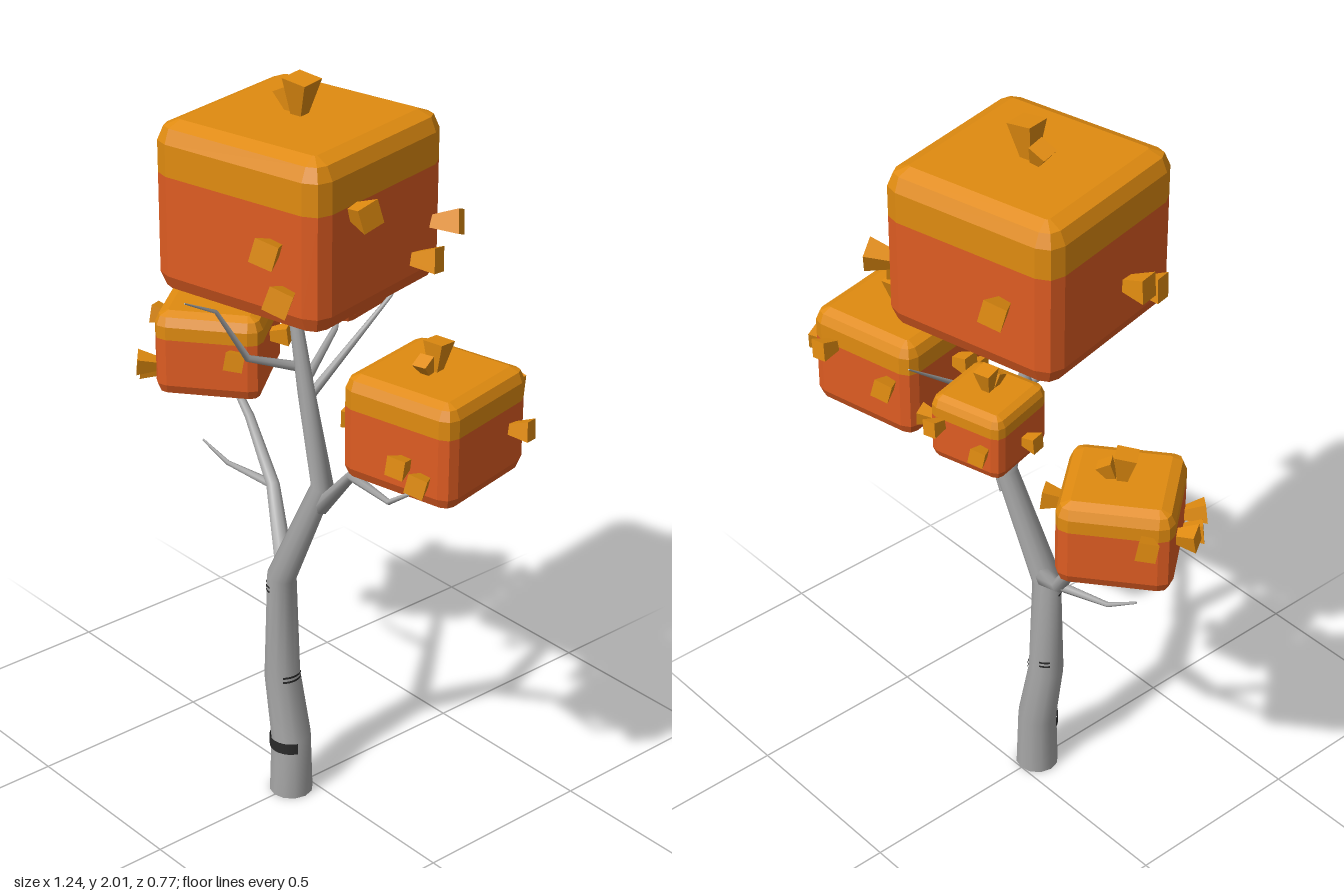
import * as THREE from 'three';

const V = (x, y, z) => new THREE.Vector3(x, y, z);
const UP = V(0, 1, 0);
const material = (name, color, extra = {}) =>
  Object.assign(new THREE.MeshStandardMaterial({ color, ...extra }), { name });
const add = (parent, name, geometry, mat) => {
  const mesh = new THREE.Mesh(geometry, mat);
  mesh.name = name;
  parent.add(mesh);
  return mesh;
};

// Skin through a stack of equal-length rings, closed at the chosen ends
function loft(rings, capBottom = true, capTop = true) {
  const n = rings[0].length, pos = [], index = [];
  const push = ring => ring.forEach(p => pos.push(p.x, p.y, p.z));
  rings.forEach(push);
  for (let i = 0; i < rings.length - 1; i++) {
    for (let j = 0; j < n; j++) {
      const a = i * n + j, b = i * n + (j + 1) % n;
      index.push(a, b, b + n, a, b + n, a + n);
    }
  }
  const cap = (ring, top) => {
    const s = pos.length / 3;
    push(ring);
    for (let j = 1; j < n - 1; j++) {
      if (top) index.push(s, s + j, s + j + 1);
      else index.push(s, s + j + 1, s + j);
    }
  };
  if (capBottom) cap(rings[0], false);
  if (capTop) cap(rings[rings.length - 1], true);
  const g = new THREE.BufferGeometry();
  g.setAttribute('position', new THREE.Float32BufferAttribute(pos, 3));
  g.setIndex(index);
  g.computeVertexNormals();
  return g;
}

// Limb through the points, tapering evenly with its length from r0 to r1
function limb(r0, r1, sides, ...points) {
  const c = points.map(p => V(...p)), along = [0];
  for (let i = 1; i < c.length; i++) along.push(along[i - 1] + c[i].distanceTo(c[i - 1]));
  return loft(c.map((p, i) => {
    const dir = c[Math.min(i + 1, c.length - 1)].clone().sub(c[Math.max(i - 1, 0)]).normalize();
    const q = new THREE.Quaternion().setFromUnitVectors(UP, dir);
    const r = r0 + (r1 - r0) * along[i] / along[c.length - 1];
    return Array.from({ length: sides }, (_, j) => {
      const a = j / sides * Math.PI * 2;
      return V(r * Math.cos(a), 0, -r * Math.sin(a)).applyQuaternion(q).add(p);
    });
  }));
}

// Rounded square outline at height y
function squareRing(half, y, inset, r) {
  const cr = Math.max(r - inset, r * 0.15), h = half - inset - cr, ring = [];
  for (let q = 0; q < 4; q++) {
    const m = (q + 0.5) * Math.PI / 2;
    for (let k = 0; k < 3; k++) {
      const a = (q + k / 2) * Math.PI / 2;
      ring.push(V(Math.sign(Math.cos(m)) * h + cr * Math.cos(a), y,
        -(Math.sign(Math.sin(m)) * h + cr * Math.sin(a))));
    }
  }
  return ring;
}

// Flared square sprig from base to tip
function sprig(parent, base, tip, w, mat) {
  const geometry = new THREE.CylinderGeometry(w * 0.7, w * 0.28, tip.distanceTo(base), 4);
  geometry.rotateY(Math.PI / 4);
  const mesh = add(parent, 'sprig', geometry, mat);
  mesh.position.copy(base).add(tip).multiplyScalar(0.5);
  mesh.quaternion.setFromUnitVectors(UP, tip.clone().sub(base).normalize());
}

// Leaf block with a golden cap, two sprigs on top and others on its sides.
// Each side lists [offset along the side, height].
function leafBlock(name, { x, z, y0, y1, size, turn, r, w, lean, sides }, gold, orange) {
  const group = new THREE.Group();
  group.name = name;
  group.position.set(x, 0, z);
  group.rotation.y = turn;
  const half = size / 2, cut = y1 - 0.3 * (y1 - y0);
  const ring = (y, inset) => squareRing(half, y, inset, r);
  add(group, 'leafBody', loft([ring(y0, r), ring(y0 + 0.3 * r, 0.3 * r), ring(y0 + r, 0),
    ring(cut, 0)], true, false), orange);
  add(group, 'leafCap', loft([ring(cut, 0), ring(y1 - r, 0), ring(y1 - 0.3 * r, 0.3 * r),
    ring(y1, r)], false, true), gold);

  // Top pair: a tall one, and a short one leaning away from it
  const out = V(Math.cos(lean - turn), 0, -Math.sin(lean - turn));
  const foot = V(0, y1 - 0.01, 0);
  sprig(group, foot, V(0, y1 + 1.45 * w, 0).addScaledVector(out, -0.2 * w), w * 1.1, gold);
  sprig(group, foot.clone().addScaledVector(out, 0.4 * w),
    V(0, y1 + 0.75 * w, 0).addScaledVector(out, 0.9 * w), w * 0.8, gold);

  // Side sprigs, fanning out a little towards the corners
  for (const [side, list] of Object.entries(sides)) {
    const sign = side === 'front' || side === 'left' ? 1 : -1;
    const place = (u, y, d) => side === 'front' || side === 'back' ? V(u, y, sign * d) : V(sign * d, y, u);
    for (const [u, y] of list) {
      sprig(group, place(u * 0.85, y - 0.15 * w, half - 0.02), place(u, y, half + w), w, gold);
    }
  }
  return group;
}

export function createModel() {
  const bark = material('bark grey', 0xa6a6a6);
  const mark = material('bark mark', 0x2b2b2b, { side: THREE.DoubleSide });
  const gold = material('golden leaves', 0xe08b10, { flatShading: true });
  const orange = material('orange leaves', 0xde5c22, { flatShading: true });
  const model = new THREE.Group();
  model.name = 'tree';

  // Trunk
  add(model, 'trunk', limb(0.058, 0.013, 12, [0, 0, 0.057], [0, 0.17, 0.057], [-0.028, 0.35, 0.063],
    [-0.022, 0.65, 0.068], [0.105, 0.95, 0.04], [0.06, 1.2, 0.055], [0, 1.5, 0.06]), bark);

  // Branches and twigs, from the thick end to the tip
  const branch = (name, r0, r1, ...points) => add(model, name, limb(r0, r1, 7, ...points), bark);
  branch('rightBranch', 0.026, 0.009, [-0.02, 0.66, 0.06], [-0.2, 0.8, -0.05], [-0.3, 0.96, -0.055], [-0.42, 1.04, -0.08]);
  branch('rightTwig', 0.013, 0.003, [-0.2, 0.8, -0.05], [-0.35, 0.815, -0.02], [-0.43, 0.86, 0]);
  branch('leftBranch', 0.022, 0.004, [0.1, 0.89, 0.04], [0.26, 1.055, 0.08], [0.44, 1.07, 0.12], [0.51, 1.12, 0.09]);
  branch('frontTwig', 0.013, 0.002, [0.03, 1.26, 0.06], [0, 1.31, 0.19], [-0.02, 1.45, 0.27], [0, 1.51, 0.38]);
  branch('backTwig', 0.013, 0.002, [0.06, 1.18, 0.05], [0.06, 1.38, -0.22], [0.04, 1.46, -0.32]);
  branch('backBranch', 0.013, 0.006, [0.05, 1.21, 0.06], [-0.07, 1.265, -0.15], [-0.14, 1.31, -0.23]);

  // Bark marks wrapped part of the way round the trunk
  const barkMark = (x, y, z, r, h, middle, spread) =>
    add(model, 'barkMark', new THREE.CylinderGeometry(r, r, h, 10, 1, true, middle - spread, spread * 2), mark)
      .position.set(x, y, z);
  barkMark(0, 0.155, 0.057, 0.057, 0.032, 0, 1.2);
  for (const dy of [0, 0.013]) {
    barkMark(-0.022, 0.612 + dy, 0.068, 0.041, 0.006, -0.7, 0.7);
    barkMark(-0.028, 0.347 + dy, 0.063, 0.05, 0.006, 1.6, 0.7);
    barkMark(-0.027, 0.39 + dy, 0.064, 0.049, 0.006, -2.4, 0.3);
  }

  // Leaf blocks
  const block = (name, spec) => model.add(leafBlock(name, spec, gold, orange));
  block('crown', {
    x: 0.02, z: 0.043, y0: 1.475, y1: 1.91, size: 0.505, turn: 0.21, r: 0.05, w: 0.062, lean: 3,
    sides: {
      front: [[0.14, 1.69], [0.18, 1.58]], left: [[0.138, 1.77], [-0.14, 1.57], [-0.23, 1.64]],
      back: [[-0.127, 1.68]], right: [[0.05, 1.64], [0.11, 1.61]],
    },
  });
  block('leftBlock', {
    x: 0.41, z: -0.05, y0: 1.08, y1: 1.355, size: 0.325, turn: 0.2, r: 0.035, w: 0.05, lean: -1.5,
    sides: {
      front: [[0.04, 1.19], [0.1, 1.16]], left: [[-0.1, 1.22]],
      back: [[0.095, 1.28], [-0.109, 1.24]], right: [[0.02, 1.24], [0.07, 1.2]],
    },
  });
  block('rightBlock', {
    x: -0.42, z: -0.05, y0: 1.03, y1: 1.265, size: 0.285, turn: 0.68, r: 0.035, w: 0.05, lean: 0.6,
    sides: {
      front: [[0.083, 1.17]], left: [[0.012, 1.18]],
      back: [[-0.087, 1.2]], right: [[-0.08, 1.17], [0.11, 1.11], [0.07, 1.08]],
    },
  });
  block('backBlock', {
    x: -0.145, z: -0.23, y0: 1.285, y1: 1.46, size: 0.205, turn: 0.25, r: 0.025, w: 0.04, lean: -1.4,
    sides: {
      front: [[0.05, 1.35]], left: [[-0.08, 1.38]],
      back: [[-0.065, 1.37], [0.07, 1.4]], right: [[0, 1.36]],
    },
  });
  return model;
}
